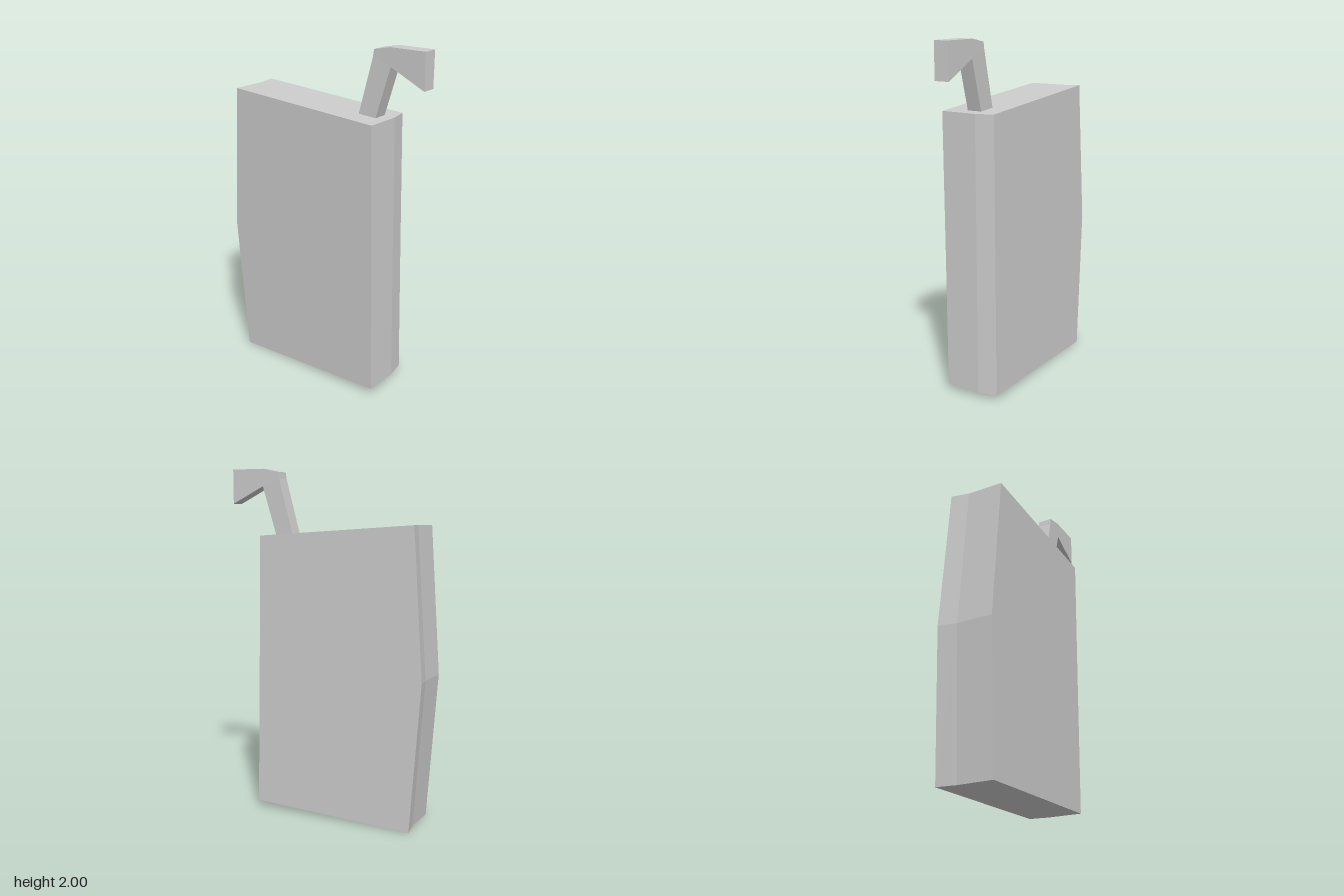
import * as THREE from 'three';

const material = new THREE.MeshStandardMaterial({ color: 0xcccccc, flatShading: true, side: THREE.DoubleSide });

// Slab body: three stacked six-sided rings, slightly twisted front and back
function createBody() {
  const ring = (left, kink, right, front, back, height) => [
    [left, front], [kink, front], [right, front - 0.02],
    [right, back - 0.02], [kink, back], [left, back],
  ].map(([x, z]) => [x, height(z), z]);

  const rings = [
    ring(-0.15, 0.055, 0.167, 0.42, -0.55, z => 0.035 - (0.42 - z) * 0.0354),
    ring(-0.16, 0.048, 0.156, 0.41, -0.61, () => 0.84),
    ring(-0.17, 0.04, 0.145, 0.402, -0.55, z => 1.615 + (0.402 - z) * 0.067),
  ];

  const n = 6, index = [];
  for (let r = 0; r < rings.length - 1; r++) {
    for (let i = 0; i < n; i++) {
      const a = r * n + i, b = r * n + (i + 1) % n;
      index.push(a, b, b + n, a, b + n, a + n);
    }
  }
  // End caps fan out from the inner back corner
  const top = (rings.length - 1) * n, hub = 4;
  for (let k = 1; k < n - 1; k++) {
    const p = (hub + k) % n, q = (hub + k + 1) % n;
    index.push(top + hub, top + p, top + q, hub, q, p);
  }
  const geometry = new THREE.BufferGeometry();
  geometry.setAttribute('position', new THREE.Float32BufferAttribute(rings.flat(2), 3));
  geometry.setIndex(index);
  const flat = geometry.toNonIndexed();
  flat.computeVertexNormals();
  return flat;
}

// Bent hook: side profile (z, y) extruded across x
function createHook() {
  const profile = [[0.63, 2], [0.42, 2], [0.318, 1.98], [0.312, 1.94],
    [0.228, 1.62], [0.338, 1.615], [0.424, 1.9], [0.63, 1.8]];
  const shape = new THREE.Shape(profile.map(([z, y]) => new THREE.Vector2(-z, y)));
  const geometry = new THREE.ExtrudeGeometry(shape, { depth: 0.085, bevelEnabled: false });
  geometry.translate(0, 0, -0.0425).rotateY(Math.PI / 2);
  // The foot leans slightly sideways
  const p = geometry.attributes.position;
  for (let i = 0; i < p.count; i++) {
    if (p.getY(i) < 1.7) p.setX(i, p.getX(i) - 0.005);
  }
  geometry.computeVertexNormals();
  return geometry;
}

export function createModel() {
  const group = new THREE.Group();
  const add = (name, geometry) => {
    const mesh = new THREE.Mesh(geometry, material);
    mesh.name = name;
    group.add(mesh);
  };
  add('body', createBody());
  add('hook', createHook());
  return group;
}
